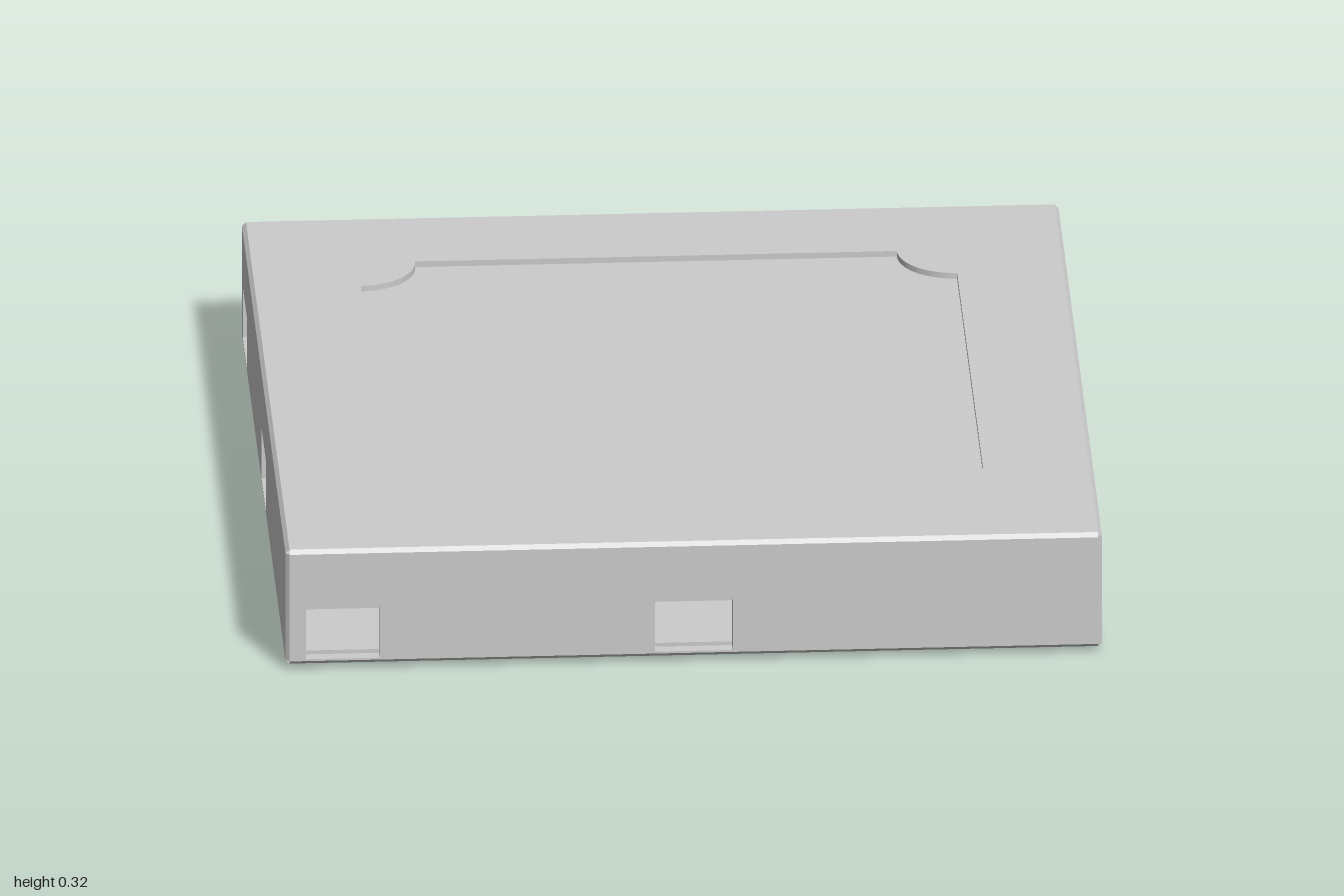
import * as THREE from 'three';

const BOTTOM = 0.015, TOP = 0.32, BEVEL = 0.01, WALL = 0.03;
const IN = 1 - BEVEL;          // half width of the flat faces
const RECESS = 0.73, DEPTH = 0.015, NOTCH = 0.14;

const material = new THREE.MeshStandardMaterial({
  color: 0xcccccc, flatShading: true, side: THREE.DoubleSide,
});

function add(parent, name, geometry, x = 0, y = 0, z = 0) {
  const mesh = new THREE.Mesh(geometry, material);
  mesh.name = name;
  mesh.position.set(x, y, z);
  parent.add(mesh);
  return mesh;
}

function rectangle(x0, y0, x1, y1, Type = THREE.Shape) {
  const s = new Type();
  s.moveTo(x0, y0);
  s.lineTo(x1, y0);
  s.lineTo(x1, y1);
  s.lineTo(x0, y1);
  s.closePath();
  return s;
}

// Square outline whose corners are scooped out by quarter circles
function scoopedSquare(h, r) {
  const p = new THREE.Path();
  p.moveTo(-h + r, -h);
  p.lineTo(h - r, -h);
  p.absarc(h, -h, r, Math.PI, Math.PI / 2, true);
  p.lineTo(h, h - r);
  p.absarc(h, h, r, -Math.PI / 2, -Math.PI, true);
  p.lineTo(-h + r, h);
  p.absarc(-h, h, r, 0, -Math.PI / 2, true);
  p.lineTo(-h, -h + r);
  p.absarc(-h, -h, r, Math.PI / 2, 0, true);
  return p;
}

// One side: wall with two windows, its bevels, a corner strip and a lug
function createSide() {
  const side = new THREE.Group();
  const y0 = BOTTOM + BEVEL, y1 = TOP - BEVEL, slope = BEVEL * Math.SQRT2;

  const wall = rectangle(-IN, y0, IN, y1);
  wall.holes.push(rectangle(-0.95, 0.03, -0.77, 0.165, THREE.Path));
  wall.holes.push(rectangle(-0.095, 0.03, 0.095, 0.165, THREE.Path));
  add(side, 'wall', new THREE.ExtrudeGeometry(wall, { depth: WALL, bevelEnabled: false }), 0, 0, 1 - WALL);

  const edge = new THREE.PlaneGeometry(2 * IN, slope);
  add(side, 'topBevel', edge, 0, TOP - BEVEL / 2, 1 - BEVEL / 2).rotation.x = -Math.PI / 4;
  add(side, 'bottomBevel', edge, 0, BOTTOM + BEVEL / 2, 1 - BEVEL / 2).rotation.x = Math.PI / 4;

  const corner = new THREE.PlaneGeometry(slope, y1 - y0);
  add(side, 'cornerBevel', corner, 1 - BEVEL / 2, (y0 + y1) / 2, 1 - BEVEL / 2).rotation.y = Math.PI / 4;

  add(side, 'lug', new THREE.BoxGeometry(0.14, 0.01, 0.03), 0, 0.01, 0.745);
  return side;
}

export function createModel() {
  const model = new THREE.Group();
  model.name = 'tile';

  for (let i = 0; i < 4; i++) {
    const side = createSide();
    side.name = 'side' + (i + 1);
    side.rotation.y = i * Math.PI / 2;
    model.add(side);
  }

  // Top face with a shallow recess
  const top = rectangle(-IN, -IN, IN, IN);
  top.holes.push(scoopedSquare(RECESS, NOTCH));
  const rim = new THREE.ExtrudeGeometry(top, { depth: DEPTH, bevelEnabled: false, curveSegments: 10 });
  rim.rotateX(-Math.PI / 2);
  add(model, 'topRim', rim, 0, TOP - DEPTH, 0);

  // Solid block above the hollow: its upper face is the recess floor
  const inner = 2 * (1 - WALL);
  const ceilingY = 0.15, blockTop = TOP - DEPTH;
  add(model, 'ceiling', new THREE.BoxGeometry(inner, blockTop - ceilingY, inner), 0, (blockTop + ceilingY) / 2, 0);

  // Hollow floor, underside and small central spike
  add(model, 'floor', new THREE.BoxGeometry(inner, 0.02, inner), 0, 0.03, 0);
  add(model, 'underside', new THREE.PlaneGeometry(2 * IN, 2 * IN), 0, BOTTOM, 0).rotation.x = Math.PI / 2;
  add(model, 'spike', new THREE.ConeGeometry(0.02, 0.035, 4), 0, 0.0575, 0);

  // Stacking foot with sloping edges
  const foot = new THREE.CylinderGeometry(0.74 * Math.SQRT2, 0.725 * Math.SQRT2, BOTTOM, 4);
  foot.rotateY(Math.PI / 4);
  add(model, 'foot', foot, 0, BOTTOM / 2, 0);

  return model;
}
